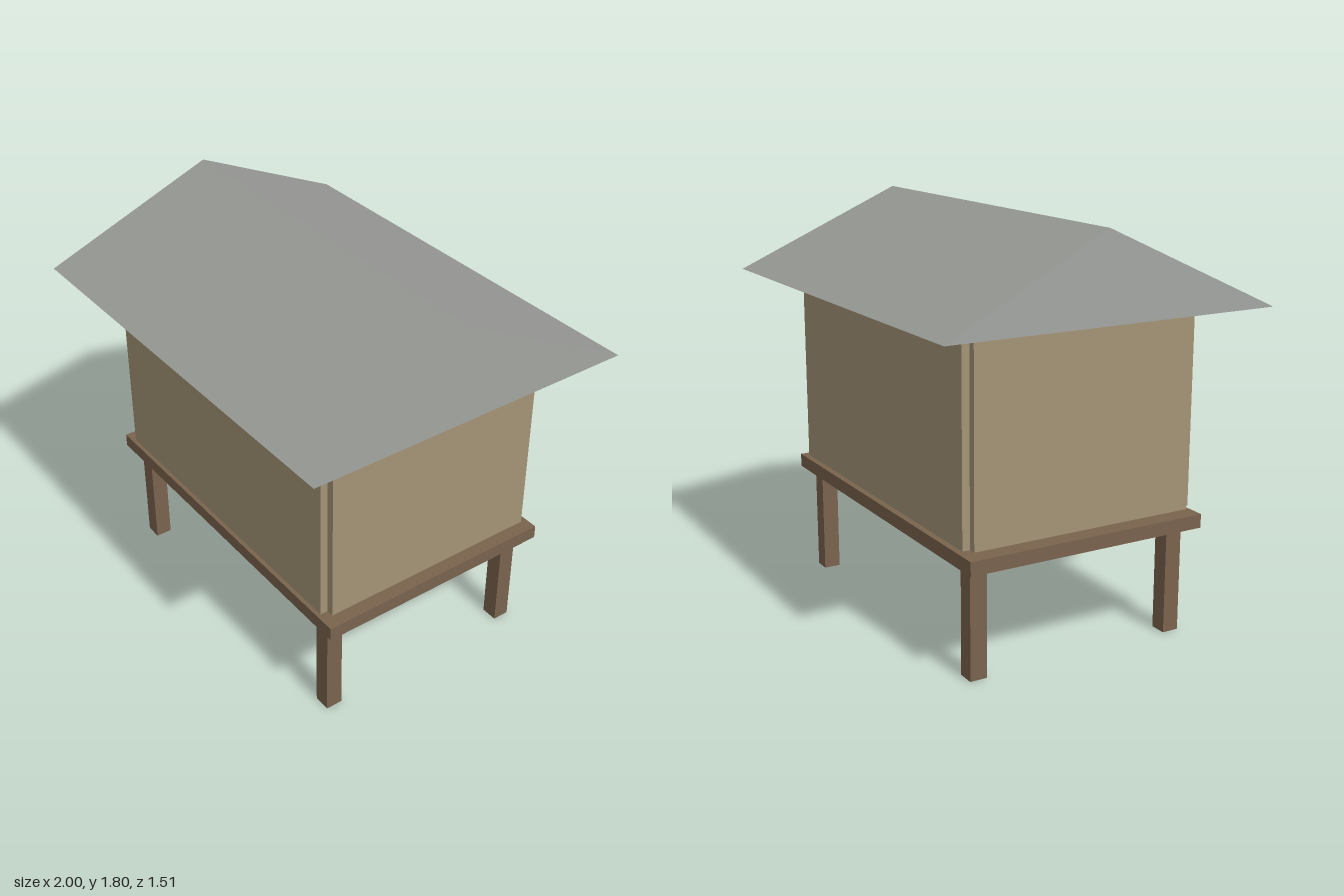
import * as THREE from 'three';

const wood = new THREE.MeshStandardMaterial({ color: 0x7a634d });
const wall = new THREE.MeshStandardMaterial({ color: 0xa49477 });
const metal = new THREE.MeshStandardMaterial({ color: 0x989a96, side: THREE.DoubleSide, flatShading: true });
wood.name = 'brown wood';
wall.name = 'tan wall panel';
metal.name = 'grey roofing';

// Box given by its size, centre in x and z, and bottom height
function box(name, material, w, h, d, x, bottom, z) {
  const mesh = new THREE.Mesh(new THREE.BoxGeometry(w, h, d), material);
  mesh.name = name;
  mesh.position.set(x, bottom + h / 2, z);
  return mesh;
}

// Hollow gable roof: two slopes and two slightly leaning ends, open below
function roofGeometry(x, z, ridgeX, eaveY, ridgeY) {
  const corners = [
    -x, eaveY, z, x, eaveY, z, x, eaveY, -z, -x, eaveY, -z,
    -ridgeX, ridgeY, 0, ridgeX, ridgeY, 0,
  ];
  const faces = [0, 1, 5, 0, 5, 4, 2, 3, 4, 2, 4, 5, 1, 2, 5, 3, 0, 4];
  const indexed = new THREE.BufferGeometry();
  indexed.setAttribute('position', new THREE.Float32BufferAttribute(corners, 3));
  indexed.setIndex(faces);
  const geometry = indexed.toNonIndexed();
  geometry.computeVertexNormals();
  return geometry;
}

export function createModel() {
  const model = new THREE.Group();
  model.name = 'raisedHut';

  // Legs and platform
  for (const sx of [-1, 1]) {
    for (const sz of [-1, 1]) {
      const name = (sz > 0 ? 'front' : 'back') + (sx > 0 ? 'Left' : 'Right') + 'Leg';
      model.add(box(name, wood, 0.076, 0.485, 0.076, sx * 0.72, 0, sz * 0.48));
    }
  }
  model.add(box('platform', wood, 1.676, 0.061, 1.12, 0, 0.485, 0));

  // Wall panels, meeting only at their inner edges and raised just off the platform
  const bottom = 0.561, height = 0.884, t = 0.034;
  for (const s of [-1, 1]) {
    model.add(box(s > 0 ? 'frontWall' : 'backWall', wall, 1.512, height, t, 0, bottom, s * 0.534));
    model.add(box(s > 0 ? 'leftWall' : 'rightWall', wall, t, height, 1.034, s * 0.773, bottom, 0));
  }

  // Roof
  const roof = new THREE.Mesh(roofGeometry(1, 0.756, 0.92, 1.445, 1.803), metal);
  roof.name = 'roof';
  model.add(roof);

  return model;
}
